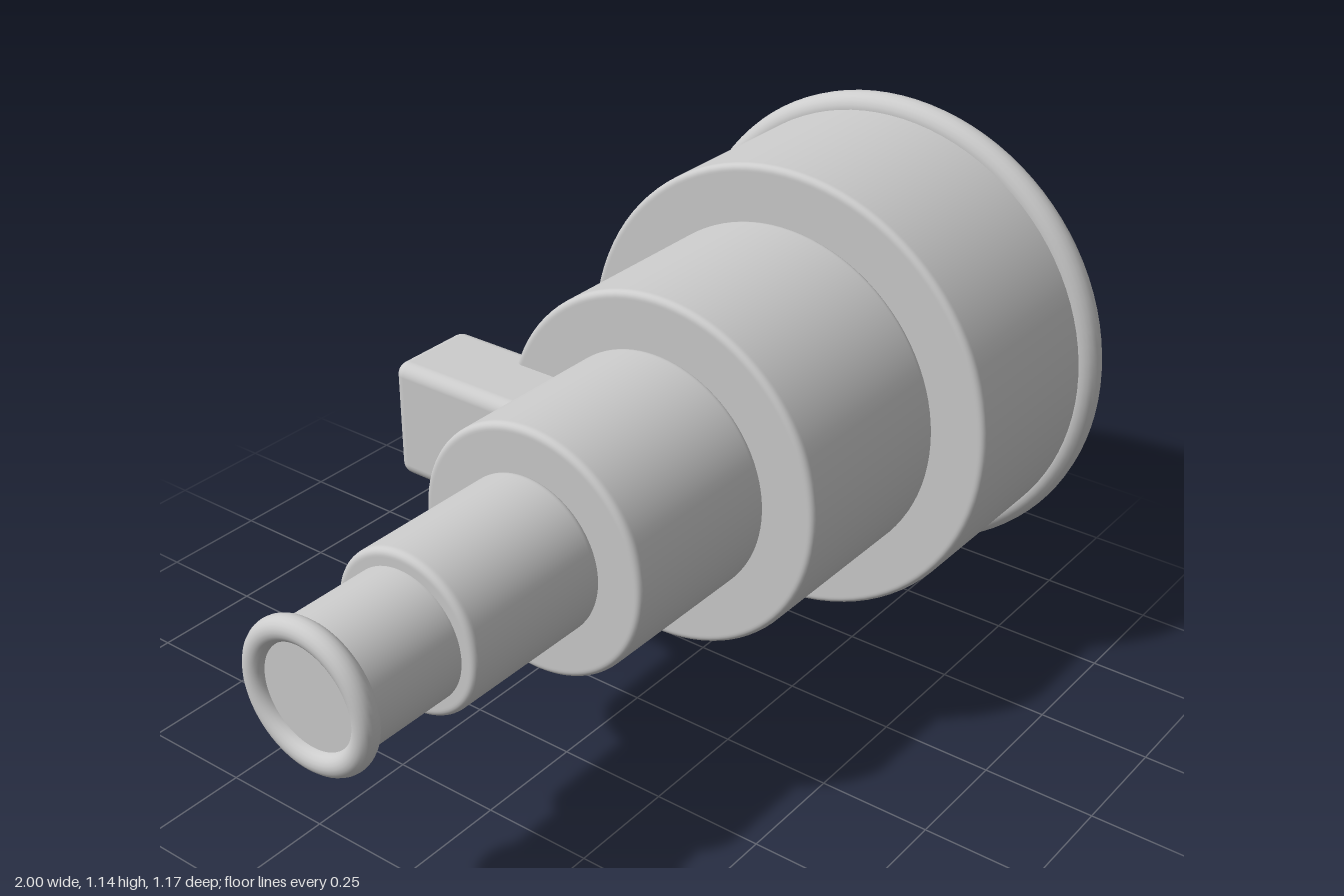
import * as THREE from 'three';
import { RoundedBoxGeometry } from 'three/addons/geometries/RoundedBoxGeometry.js';

const AXIS_Y = 0.572, AXIS_Z = 0.012;

// Solid tube section lying along x, with rounded rims at both ends
function sectionGeometry(x0, x1, radius, bevel) {
  const points = [new THREE.Vector2(0, x0), new THREE.Vector2(radius - bevel - 0.004, x0)];
  const steps = 5;
  const arc = (cx, from) => {
    for (let i = 0; i <= steps; i++) {
      const a = from + (i / steps) * Math.PI / 2;
      points.push(new THREE.Vector2(radius - bevel + bevel * Math.cos(a), cx + bevel * Math.sin(a)));
    }
  };
  arc(x0 + bevel, -Math.PI / 2);
  points.push(new THREE.Vector2(radius, x0 + bevel + 0.004));
  points.push(new THREE.Vector2(radius, x1 - bevel - 0.004));
  arc(x1 - bevel, 0);
  points.push(new THREE.Vector2(radius - bevel - 0.004, x1), new THREE.Vector2(0, x1));
  return new THREE.LatheGeometry(points, 96).rotateZ(-Math.PI / 2);
}

export function createModel() {
  const model = new THREE.Group();
  model.name = 'telescope';
  const grey = new THREE.MeshStandardMaterial({ color: 0xcccccc });
  grey.name = 'plain grey';

  const add = (name, geometry, x, y, z) => {
    const mesh = new THREE.Mesh(geometry, grey);
    mesh.name = name;
    mesh.position.set(x, y, z);
    model.add(mesh);
  };

  // Telescoping sections, from eyepiece to objective
  const sections = [
    ['eyepieceTube', -0.978, -0.72, 0.142, 0.008],
    ['secondTube', -0.727, -0.36, 0.177, 0.014],
    ['thirdTube', -0.366, 0.05, 0.28, 0.014],
    ['fourthTube', 0.043, 0.508, 0.406, 0.014],
    ['objectiveTube', 0.503, 0.968, 0.535, 0.014],
  ];
  for (const [name, x0, x1, radius, bevel] of sections) {
    add(name, sectionGeometry(x0, x1, radius, bevel), 0, AXIS_Y, AXIS_Z);
  }

  // Rounded rims at both ends
  const rim = (radius, tube) => new THREE.TorusGeometry(radius, tube, 20, 96).rotateY(Math.PI / 2);
  add('eyepieceRim', rim(0.138, 0.026), -0.974, AXIS_Y, AXIS_Z);
  add('objectiveRim', rim(0.535, 0.036), 0.964, AXIS_Y, AXIS_Z);

  // Mounting block on the back
  add('mountingBlock', new RoundedBoxGeometry(0.224, 0.278, 0.42, 5, 0.03), -0.008, AXIS_Y, -0.375);

  return model;
}
